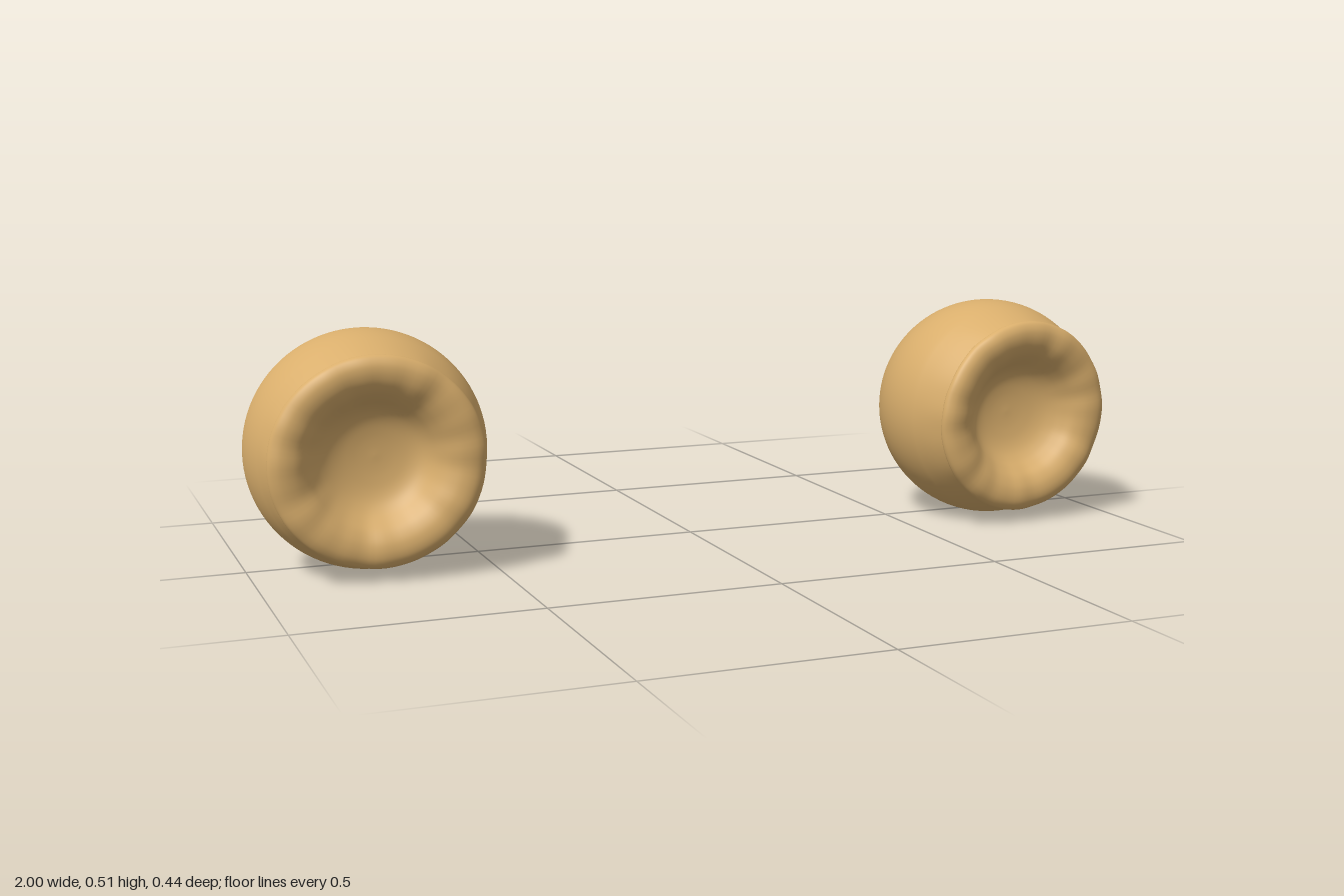
import * as THREE from 'three';
import { mergeVertices } from 'three/addons/utils/BufferGeometryUtils.js';

const R = 0.253;            // ball radius
const NECK = 0.075;         // where the ball turns into the tapered neck
const smooth = THREE.MathUtils.smoothstep;

// Outline (radius, depth) from the back pole to the middle of the dished front
function outline() {
  const pts = [];
  const rows = 60, end = Math.acos(-NECK / R);
  for (let i = 0; i <= rows; i++) {
    const a = end * i / rows;
    pts.push(new THREE.Vector2(R * Math.sin(a), -R * Math.cos(a)));
  }
  const front = [
    [0.229, 0.107], [0.215, 0.138], [0.213, 0.143], [0.219, 0.147], [0.222, 0.154],
    [0.219, 0.163], [0.21, 0.17], [0.198, 0.174], [0.182, 0.174], [0.164, 0.169],
    [0.145, 0.157], [0.128, 0.139], [0.112, 0.121], [0.094, 0.107], [0.072, 0.098],
    [0.045, 0.093], [0.02, 0.091], [0, 0.091],
  ].map(([r, d]) => new THREE.Vector2(r, d));
  // smooth curve through the rim and bowl points
  const curve = new THREE.SplineCurve([pts[pts.length - 1], ...front]);
  pts.push(...curve.getPoints(72).slice(1));
  pts[0].x = pts[pts.length - 1].x = 0;
  return pts;
}

// side is +1 for the left eye, -1 for the right
function eyeGeometry(side) {
  let geo = new THREE.LatheGeometry(outline(), 96);
  geo.rotateX(Math.PI / 2);
  const pos = geo.attributes.position;
  const v = new THREE.Vector3();
  const nub = new THREE.Vector3(side * 0.072, 0.01, -0.242);
  for (let i = 0; i < pos.count; i++) {
    v.fromBufferAttribute(pos, i);
    // small nub at the back, toward the outer side
    const d = v.distanceTo(nub);
    v.multiplyScalar(1 + 0.04 * Math.exp(-d * d / 0.0004));
    // rim leans outward and slightly upward, with a gentle uneven edge
    const f = smooth(v.z, NECK, 0.145);
    if (f > 0) {
      const out = v.x * side, r = Math.hypot(v.x, v.y);
      const a = Math.atan2(v.y, out);
      const edge = f * smooth(r, 0.09, 0.17);
      const lump = Math.sin(7 * a + 1) + 0.7 * Math.sin(12 * a + 2.3) + 0.5 * Math.sin(19 * a);
      v.z += f * (-0.07 * out + 0.035 * v.y) + edge * 0.0013 * lump;
      v.x += side * f * 0.008;
      v.y -= f * 0.003;
    }
    pos.setXYZ(i, v.x, v.y, v.z);
  }
  // weld the seam for even shading
  geo.deleteAttribute('uv');
  geo.deleteAttribute('normal');
  geo = mergeVertices(geo, 1e-5);
  geo.computeVertexNormals();
  return geo;
}

export function createModel() {
  const group = new THREE.Group();
  group.name = 'eyePair';
  const tan = new THREE.MeshStandardMaterial({ color: 0xd9ae6c });
  tan.name = 'tan';
  for (const side of [1, -1]) {
    const eye = new THREE.Mesh(eyeGeometry(side), tan);
    eye.name = side > 0 ? 'leftEyeball' : 'rightEyeball';
    eye.position.set(side * 0.747, 0.255, 0.033);
    group.add(eye);
  }
  return group;
}
